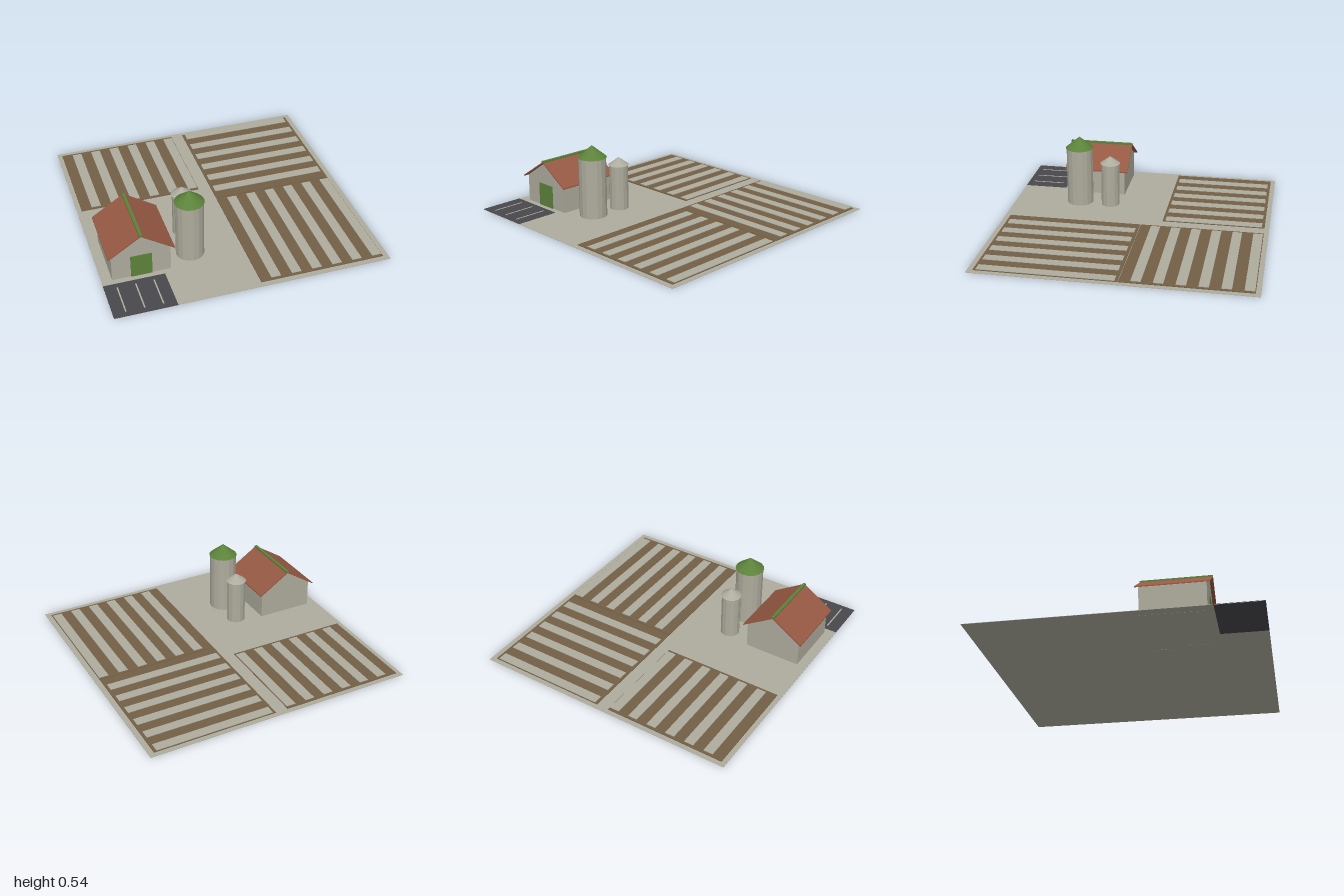
import * as THREE from 'three';

const mat = (name, color) => {
  const m = new THREE.MeshStandardMaterial({ color, flatShading: true });
  m.name = name;
  return m;
};

export function createModel() {
  const farm = new THREE.Group();
  farm.name = 'farm';
  const stone = mat('pale stone', 0xaeac9d);
  const soil = mat('brown soil', 0x735f45);
  const brick = mat('red roof', 0x965943);
  const green = mat('green', 0x5c823a);
  const asphalt = mat('dark asphalt', 0x48474c);

  const add = (name, geometry, material, parent = farm) => {
    const mesh = new THREE.Mesh(geometry, material);
    mesh.name = name;
    parent.add(mesh);
    return mesh;
  };
  // Box given by its extents along each axis
  const box = (name, material, [x0, x1], [y0, y1], [z0, z1], parent) => {
    const g = new THREE.BoxGeometry(x1 - x0, y1 - y0, z1 - z0);
    g.translate((x0 + x1) / 2, (y0 + y1) / 2, (z0 + z1) / 2);
    return add(name, g, material, parent);
  };
  const group = (name) => {
    const g = new THREE.Group();
    g.name = name;
    farm.add(g);
    return g;
  };

  // Ground slab
  box('ground', stone, [-1, 1], [0.0006, 0.003], [-1, 1]);

  // Car park with painted bay lines
  const park = group('carPark');
  box('asphalt', asphalt, [-1, -0.56], [0, 0.005], [0.67, 1], park);
  for (const x of [-0.91, -0.78, -0.65])
    box('bayLine', stone, [x - 0.005, x + 0.005], [0.005, 0.0065], [0.71, 0.96], park);

  // Fields: soil bed with six raised rows
  const field = (name, [x0, x1], [z0, z1], rowsAlongX) => {
    const g = group(name);
    box('soilBed', soil, [x0, x1], [0.0015, 0.008], [z0, z1], g);
    for (let i = 0; i < 6; i++) {
      if (rowsAlongX) {
        const z = z0 + 0.005 + i * 0.152;
        box('row', stone, [x0 + 0.02, x1 - 0.02], [0.007, 0.012], [z, z + 0.07], g);
      } else {
        const x = x0 + 0.08 + i * 0.152;
        box('row', stone, [x, x + 0.071], [0.007, 0.012], [z0 + 0.02, z1 - 0.02], g);
      }
    }
  };
  field('backRightField', [-0.965, -0.05], [-0.965, -0.2], false);
  field('backLeftField', [0.045, 0.96], [-0.965, -0.05], true);
  field('frontLeftField', [0.045, 0.96], [-0.045, 0.96], false);

  // Barn: gabled walls, thin folded roof, ridge cap and door
  const barn = group('barn');
  const extrude = (points, z0, z1) => {
    const shape = new THREE.Shape(points.map(([x, y]) => new THREE.Vector2(x, y)));
    return new THREE.ExtrudeGeometry(shape, { depth: z1 - z0, bevelEnabled: false })
      .translate(-0.714, 0, z0);
  };
  add('walls', extrude(
    [[-0.211, 0], [0.211, 0], [0.211, 0.209], [0, 0.349], [-0.211, 0.209]], 0.175, 0.625), stone, barn);
  add('roof', extrude(
    [[-0.236, 0.197], [0, 0.35], [0.236, 0.197], [0.236, 0.206], [0, 0.359], [-0.236, 0.206]],
    0.15, 0.65), brick, barn);
  box('ridgeCap', green, [-0.725, -0.703], [0.35, 0.365], [0.15, 0.65], barn);
  box('door', green, [-0.79, -0.638], [0.003, 0.177], [0.624, 0.631], barn);

  // Silos: faceted cylinders with conical caps
  const silo = (name, x, z, radius, capRadius, height, top, sides, capMaterial) => {
    const g = group(name);
    g.position.set(x, 0, z);
    add('tank', new THREE.CylinderGeometry(radius, radius, height, sides)
      .translate(0, height / 2, 0), stone, g);
    add('cap', new THREE.ConeGeometry(capRadius, top - height, sides)
      .translate(0, (top + height) / 2, 0), capMaterial, g);
  };
  silo('largeSilo', -0.327, 0.495, 0.102, 0.108, 0.45, 0.54, 16, green);
  silo('smallSilo', -0.312, 0.252, 0.071, 0.078, 0.342, 0.4, 14, stone);

  return farm;
}
